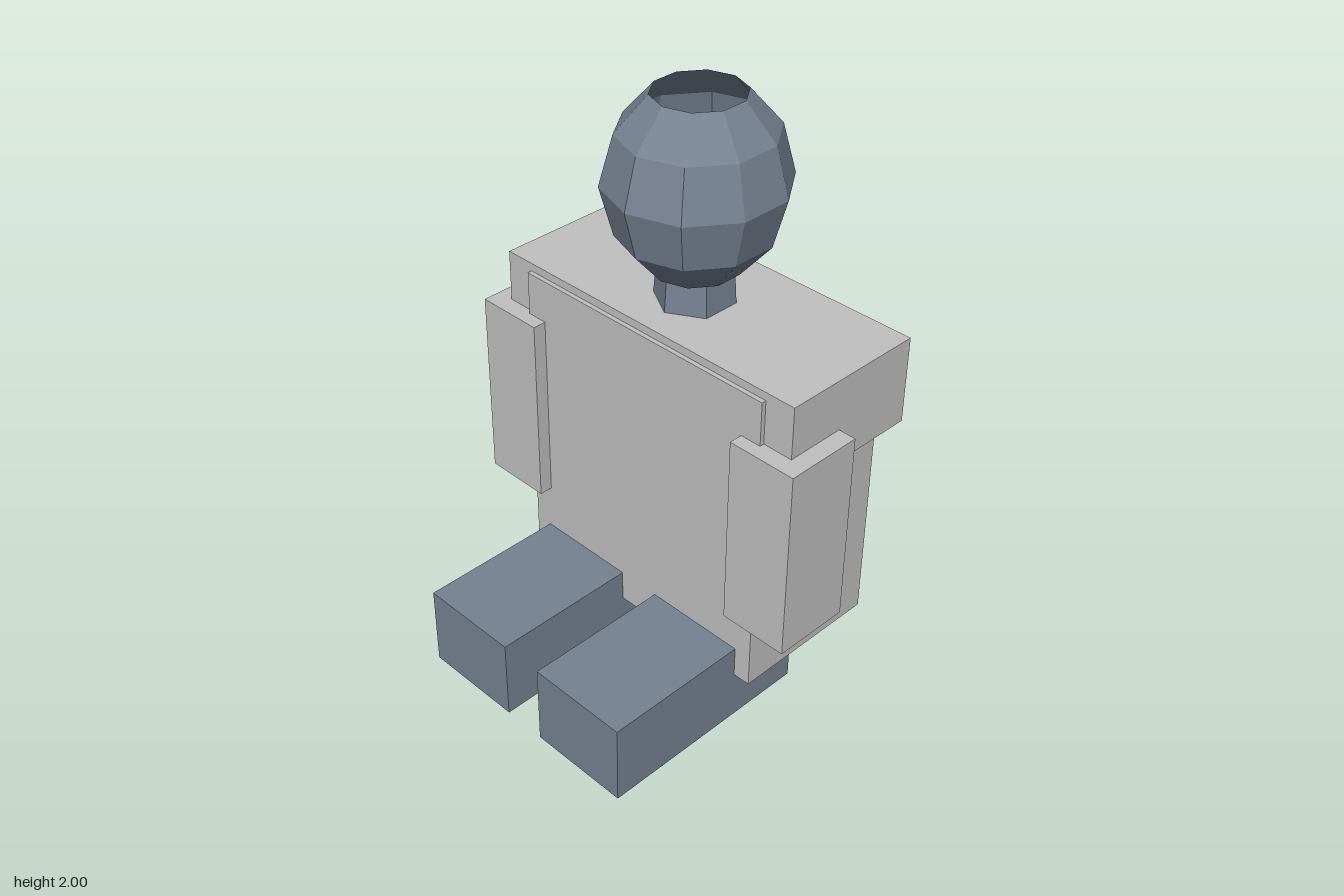
import * as THREE from 'three';

export function createModel() {
  const model = new THREE.Group();
  const grey = new THREE.MeshStandardMaterial({ color: 0xc0c0c0 });
  grey.name = 'light grey';
  const slate = new THREE.MeshStandardMaterial({ color: 0x768292, side: THREE.DoubleSide });
  slate.name = 'slate blue';

  const add = (name, geometry, material) => {
    const mesh = new THREE.Mesh(geometry, material);
    mesh.name = name;
    model.add(mesh);
    return mesh;
  };

  // Box given by its lower and upper limits on each axis
  const box = (name, material, [x0, x1], [y0, y1], [z0, z1]) =>
    add(name, new THREE.BoxGeometry(x1 - x0, y1 - y0, z1 - z0), material)
      .position.set((x0 + x1) / 2, (y0 + y1) / 2, (z0 + z1) / 2);

  // Body
  box('torso', grey, [-0.505, 0.505], [0.18, 1.285], [-0.535, 0.013]);
  box('shoulders', grey, [-0.612, 0.612], [1.01, 1.313], [-0.522, -0.003]);

  // Limbs, mirrored across x
  for (const [side, s] of [['left', 1], ['right', -1]]) {
    const span = (a, b) => (s > 0 ? [a, b] : [-b, -a]);
    box(side + 'Arm', grey, span(0.43, 0.674), [0.457, 1.132], [-0.213, 0.06]);
    box(side + 'Leg', slate, span(0.077, 0.443), [0, 0.292], [-0.26, 0.535]);
  }

  // Six-sided neck
  const neck = new THREE.CylinderGeometry(0.124, 0.133, 0.14, 6).toNonIndexed();
  neck.computeVertexNormals();
  add('neck', neck, slate).position.set(0, 1.37, -0.23);

  // Ten-sided head, open at the top and bottom
  const profile = [[0.15, 1.43], [0.255, 1.55], [0.3, 1.717], [0.255, 1.882], [0.15, 2]]
    .map(([r, y]) => new THREE.Vector2(r, y));
  const head = new THREE.LatheGeometry(profile, 10).toNonIndexed();
  head.scale(0.97, 1, 1);
  head.computeVertexNormals();
  add('head', head, slate).position.z = -0.232;

  return model;
}
